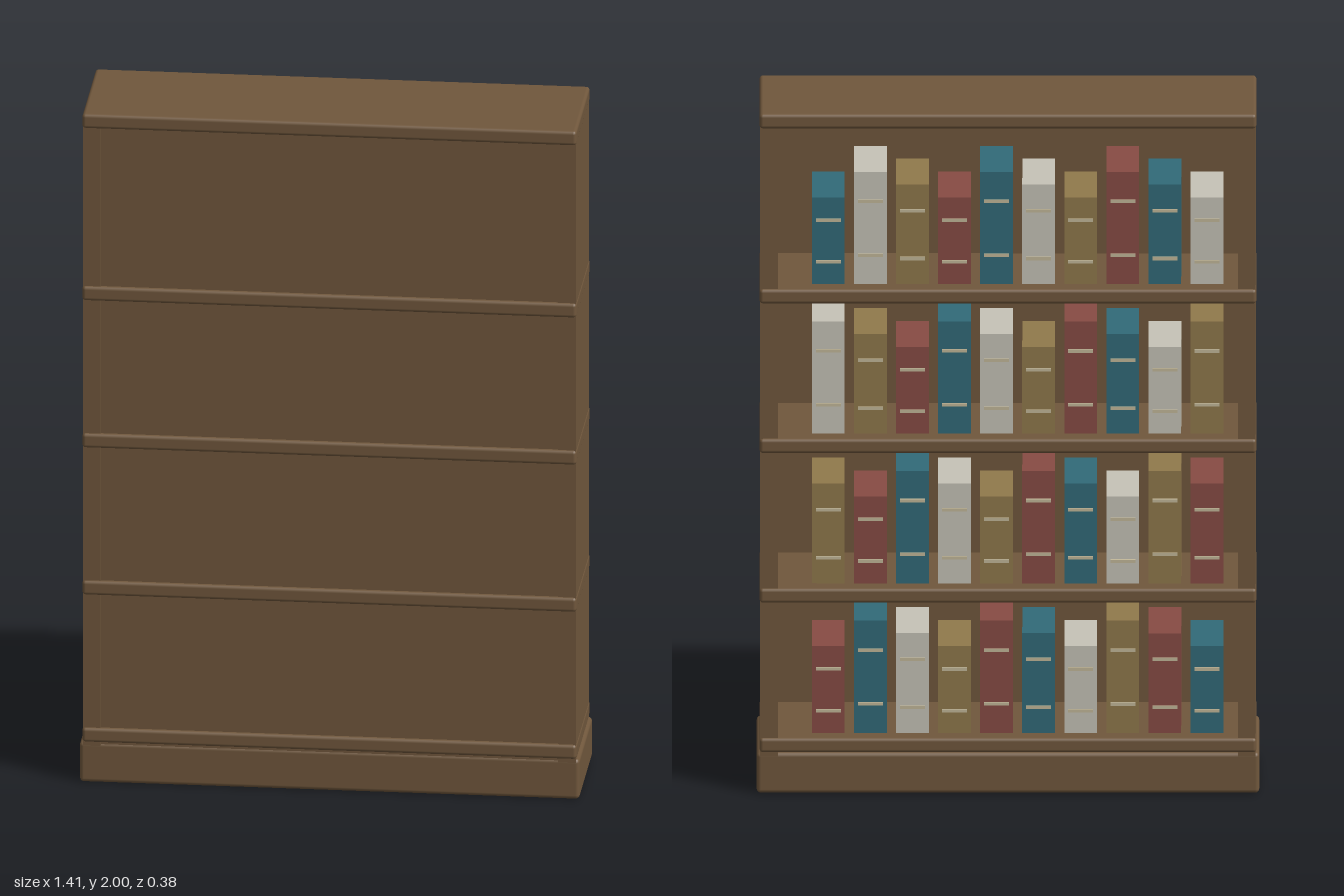
import * as THREE from 'three';
import { RoundedBoxGeometry } from 'three/addons/geometries/RoundedBoxGeometry.js';

const material = (name, color) => {
  const m = new THREE.MeshStandardMaterial({ color });
  m.name = name;
  return m;
};

export function createModel() {
  const wood = material('wood', 0x70573c);
  const band = material('spine band', 0xc4b99a);
  const covers = [
    material('teal cover', 0x316a78),
    material('red cover', 0x874b44),
    material('ochre cover', 0x90794b),
    material('ivory cover', 0xc6c3b7),
  ];

  const model = new THREE.Group();
  model.name = 'bookcase';

  // Adds a named mesh centred on (x, z), with its underside at y
  const place = (parent, name, geometry, mat, x, y, z, height) => {
    const mesh = new THREE.Mesh(geometry, mat);
    mesh.name = name;
    mesh.position.set(x, y + height / 2, z);
    parent.add(mesh);
    return mesh;
  };
  const box = (parent, name, mat, w, h, d, x, y, z) =>
    place(parent, name, new THREE.BoxGeometry(w, h, d), mat, x, y, z, h);
  const softBox = (parent, name, w, h, d, r, y) =>
    place(parent, name, new RoundedBoxGeometry(w, h, d, 2, r), wood, 0, y, 0, h);

  // Carcass: plinth, two sides and the closed panel on +z
  softBox(model, 'plinth', 1.41, 0.12, 0.36, 0.012, 0);
  for (const side of [1, -1]) {
    box(model, side > 0 ? 'leftSide' : 'rightSide', wood, 0.05, 1.86, 0.36, side * 0.67, 0.11, 0);
  }
  box(model, 'backPanel', wood, 1.29, 1.86, 0.025, 0, 0.11, 0.165);

  // Shelves and top board, all slightly proud of the carcass
  const thickness = 0.043;
  const levels = [0.122, 0.562, 1.002, 1.442, 1.957];
  levels.forEach((y, i) => {
    softBox(model, i === 4 ? 'topBoard' : 'shelf', 1.394, thickness, 0.375, 0.01, y);
  });

  // Ten books per shelf, spines towards the open side on -z
  const heights = [0.255, 0.293, 0.33];
  const width = 0.092, depth = 0.243, spineZ = -0.135;
  for (let s = 0; s < 4; s++) {
    const row = new THREE.Group();
    row.name = 'bookRow';
    row.position.y = levels[s] + thickness;
    model.add(row);
    for (let i = 0; i < 10; i++) {
      const h = heights[(i + s) % 3];
      const book = new THREE.Group();
      book.name = 'book';
      book.position.x = -0.558 + i * 0.118;
      row.add(book);
      box(book, 'cover', covers[(i + s) % 4], width, h, depth, 0, 0, spineZ + depth / 2);
      // Two thin bands across the spine
      for (const t of [0.26, 0.74]) {
        box(book, 'spineBand', band, 0.07, 0.009, 0.006, 0, h * t - 0.0045, spineZ - 0.002);
      }
    }
  }
  return model;
}
